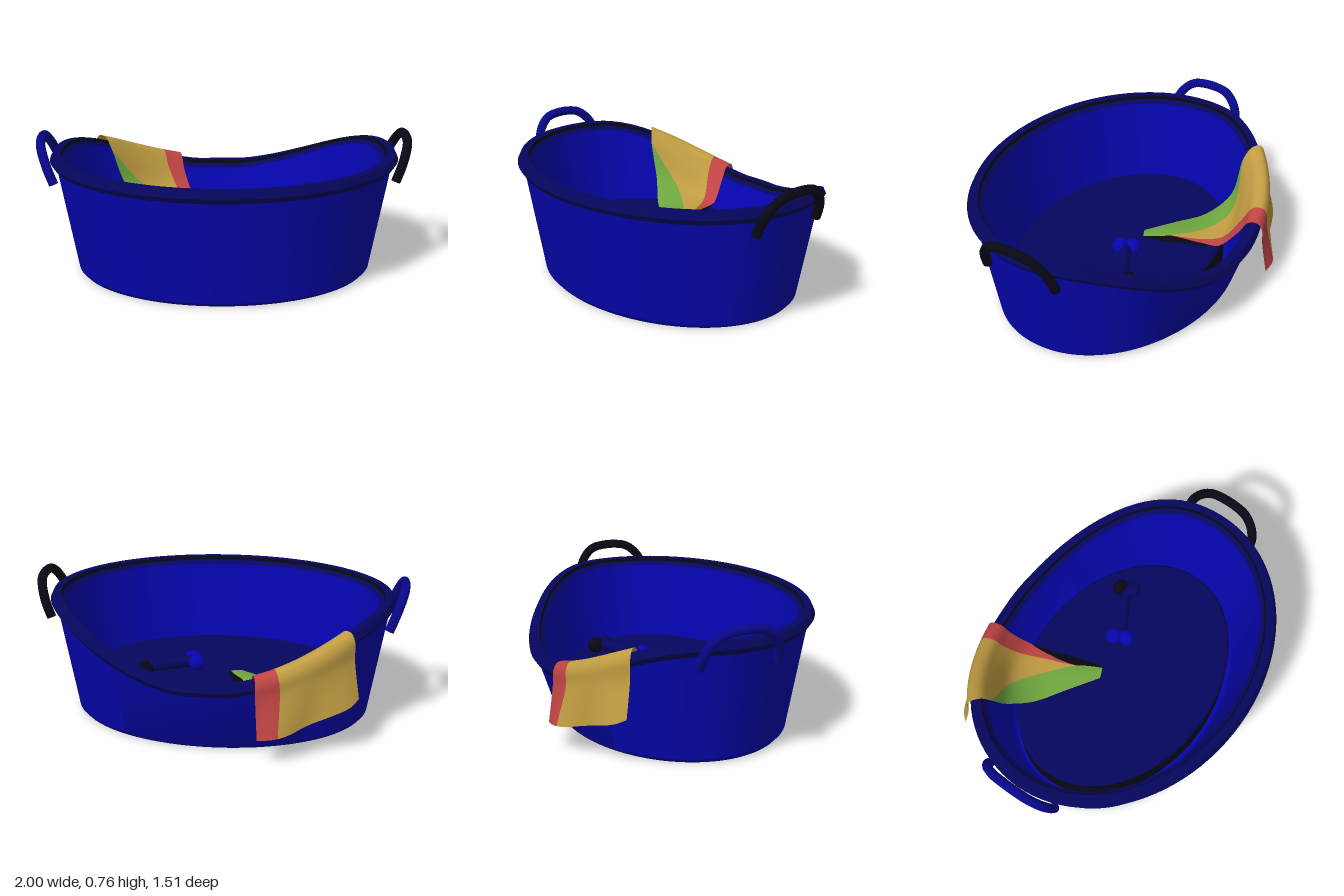
import * as THREE from 'three';
import { toCreasedNormals } from 'three/addons/utils/BufferGeometryUtils.js';

const mat = (name, color, side = THREE.FrontSide) => {
  const m = new THREE.MeshStandardMaterial({ color, side });
  m.name = name;
  return m;
};
const V = (x, y, z) => new THREE.Vector3(x, y, z);
const CENTRE_Z = 0.01, CUSHION_TOP = 0.225;

// How far the rim dips towards the back, by angle around the oval
function dip(angle) {
  const z = -0.742 * Math.sin(angle);
  return 0.27 * Math.pow(THREE.MathUtils.clamp((z - 0.1) / 0.635, 0, 1), 2.5);
}

// Point on the dipped oval tub: r is the half width along x
function tubPoint(r, y, angle) {
  const k = THREE.MathUtils.clamp((y - CUSHION_TOP) / (0.6 - CUSHION_TOP), 0, 1);
  return V(r * Math.cos(angle), y - dip(angle) * k, CENTRE_Z + Math.max(r - 0.193, 0) * Math.sin(angle));
}

// Revolve a profile, then bend it onto the dipped oval
function ovalBand(name, profile, material) {
  const geo = new THREE.LatheGeometry(profile.map(([r, y]) => new THREE.Vector2(r, y)), 96);
  const p = geo.attributes.position;
  for (let i = 0; i < p.count; i++) {
    const x = p.getX(i), z = p.getZ(i);
    const q = tubPoint(Math.hypot(x, z), p.getY(i), Math.atan2(z, x));
    p.setXYZ(i, q.x, q.y, q.z);
  }
  const mesh = new THREE.Mesh(toCreasedNormals(geo, 0.5), material);
  mesh.name = name;
  return mesh;
}

// Arched carrying handle, leaning outwards on one side
function handle(name, side, material) {
  const half = [[0.207, 0.538], [0.197, 0.61], [0.165, 0.672], [0.11, 0.718], [0.045, 0.733]];
  const arch = [...half, ...half.slice().reverse().map(([z, y]) => [-z, y])];
  const path = new THREE.CatmullRomCurve3(
    arch.map(([z, y]) => V(side * (0.9 + (y - 0.538) * 0.39), y, z + 0.012)));
  const circle = new THREE.Shape().absarc(0, 0, 0.025, 0, Math.PI * 2, false);
  const geo = new THREE.ExtrudeGeometry(circle, { steps: 40, curveSegments: 7, extrudePath: path });
  const mesh = new THREE.Mesh(toCreasedNormals(geo, 0.9), material);
  mesh.name = name;
  return mesh;
}

// Toy bone lying on the cushion
function bone(blue, navy, black) {
  const g = new THREE.Group();
  g.name = 'toyBone';
  const y = CUSHION_TOP + 0.07;
  const balls = [[0.12, -0.14, blue], [0.15, -0.08, blue], [0.38, -0.28, black], [0.41, -0.22, navy]];
  for (const [x, z, m] of balls) {
    const ball = new THREE.Mesh(new THREE.SphereGeometry(0.045, 24, 16), m);
    ball.name = 'boneKnob';
    ball.position.set(x, y, z);
    g.add(ball);
  }
  const a = V(0.135, y, -0.11), b = V(0.395, y, -0.25);
  const shaft = new THREE.Mesh(new THREE.CylinderGeometry(0.03, 0.03, a.distanceTo(b), 20), navy);
  shaft.name = 'boneShaft';
  shaft.position.copy(a).lerp(b, 0.5);
  shaft.quaternion.setFromUnitVectors(V(0, 1, 0), b.clone().sub(a).normalize());
  g.add(shaft);
  return g;
}

// Towel hung over the low rim, tapering to a point on the cushion
function towel(green, gold, red, black) {
  const g = new THREE.Group();
  g.name = 'towel';
  const curve = pts => new THREE.CatmullRomCurve3(pts.map(p => V(...p)));
  const rimRow = (r, y) => new THREE.CatmullRomCurve3(
    Array.from({ length: 7 }, (_, i) => tubPoint(r, y, Math.PI + 0.698 + (i / 6) * 0.6)));
  // Cross rows from the outer hem to the tip
  const rows = [
    curve([[-0.76, 0.28, -0.51], [-0.72, 0.25, -0.56], [-0.63, 0.22, -0.61], [-0.51, 0.18, -0.65],
      [-0.42, 0.15, -0.72], [-0.35, 0.14, -0.755], [-0.27, 0.13, -0.755]]),
    rimRow(0.956, 0.53),
    rimRow(0.952, 0.645),
    rimRow(0.925, 0.685),
    rimRow(0.875, 0.682),
    rimRow(0.825, 0.61),
    curve([[-0.56, 0.34, -0.375], [-0.37, 0.29, -0.47], [-0.18, 0.255, -0.5]]),
    curve([[-0.44, 0.24, -0.285], [-0.28, 0.245, -0.34], [-0.14, 0.24, -0.38]]),
    curve([[-0.28, 0.237, -0.18], [-0.18, 0.25, -0.21], [-0.09, 0.237, -0.24]]),
    curve([[-0.115, 0.237, -0.07], [-0.08, 0.24, -0.085], [-0.05, 0.237, -0.1]]),
  ];
  const last = rows.length - 1;
  const at = (u, w) => new THREE.CatmullRomCurve3(rows.map(r => r.getPoint(u))).getPoint(w);
  const along = (list, w) => {
    const i = Math.min(Math.floor(w * last), last - 1);
    return THREE.MathUtils.lerp(list[i], list[i + 1], w * last - i);
  };
  // Edges between the colours, one value per row
  const edges = [
    Array(10).fill(0),
    [0, 0, 0, 0, 0, 0, 0.3, 0.52, 0.72, 0.84],
    [0.78, 0.78, 0.79, 0.8, 0.8, 0.8, 0.8, 0.81, 0.74, 0.84],
    [1, 1, 1, 1, 1, 1, 1, 0.9, 0.74, 0.84],
    Array(10).fill(1),
  ];
  const colours = [['greenPanel', green], ['goldPanel', gold], ['redStripe', red], ['blackCorner', black]];
  const N = 45, C = 10;
  colours.forEach(([name, material], k) => {
    const pos = [], idx = [];
    for (let j = 0; j <= N; j++) {
      const w = j / N, u0 = along(edges[k], w), u1 = along(edges[k + 1], w);
      for (let i = 0; i <= C; i++) pos.push(...at(THREE.MathUtils.lerp(u0, u1, i / C), w).toArray());
    }
    for (let j = 0; j < N; j++) {
      const wide = [j, j + 1].some(r => along(edges[k + 1], r / N) - along(edges[k], r / N) > 1e-4);
      if (!wide) continue;
      for (let i = 0; i < C; i++) {
        const a = j * (C + 1) + i, b = a + C + 1;
        idx.push(a, a + 1, b, b, a + 1, b + 1);
      }
    }
    const geo = new THREE.BufferGeometry();
    geo.setAttribute('position', new THREE.Float32BufferAttribute(pos, 3));
    geo.setIndex(idx);
    geo.computeVertexNormals();
    const mesh = new THREE.Mesh(geo, material);
    mesh.name = name;
    g.add(mesh);
  });
  return g;
}

export function createModel() {
  const blue = mat('blue', 0x0505b0);
  const midBlue = mat('midBlue', 0x07078c);
  const navy = mat('navy', 0x060660);
  const black = mat('black', 0x080816);
  const cloth = [['green', 0x6fa63f], ['gold', 0xc09c42], ['red', 0xc04444], ['clothBlack', 0x080816]]
    .map(([n, c]) => mat(n, c, THREE.DoubleSide));

  const model = new THREE.Group();
  model.name = 'petBasket';
  model.add(
    // Tub shell, from the underside up, over the rim and down inside
    ovalBand('outerWall', [[0, 0], [0.78, 0], [0.8, 0.022], [0.902, 0.6]], blue),
    ovalBand('rim', [[0.902, 0.6], [0.915, 0.598], [0.935, 0.628], [0.918, 0.664], [0.876, 0.664]], navy),
    ovalBand('rimGroove', [[0.876, 0.664], [0.87, 0.645]], black),
    ovalBand('innerLedge', [[0.87, 0.645], [0.847, 0.625]], navy),
    ovalBand('innerWall', [[0.847, 0.625], [0.745, 0.05], [0.73, 0.035], [0, 0.035]], blue),
    // Thick cushion filling the bottom
    ovalBand('cushionSide', [[0.717, 0.036], [0.717, CUSHION_TOP - 0.018]], black),
    ovalBand('cushionTop', [[0.717, CUSHION_TOP - 0.018], [0.703, CUSHION_TOP], [0, CUSHION_TOP]], navy),
    handle('leftHandle', 1, black),
    handle('rightHandle', -1, midBlue),
    bone(blue, navy, black),
    towel(...cloth),
  );
  return model;
}
